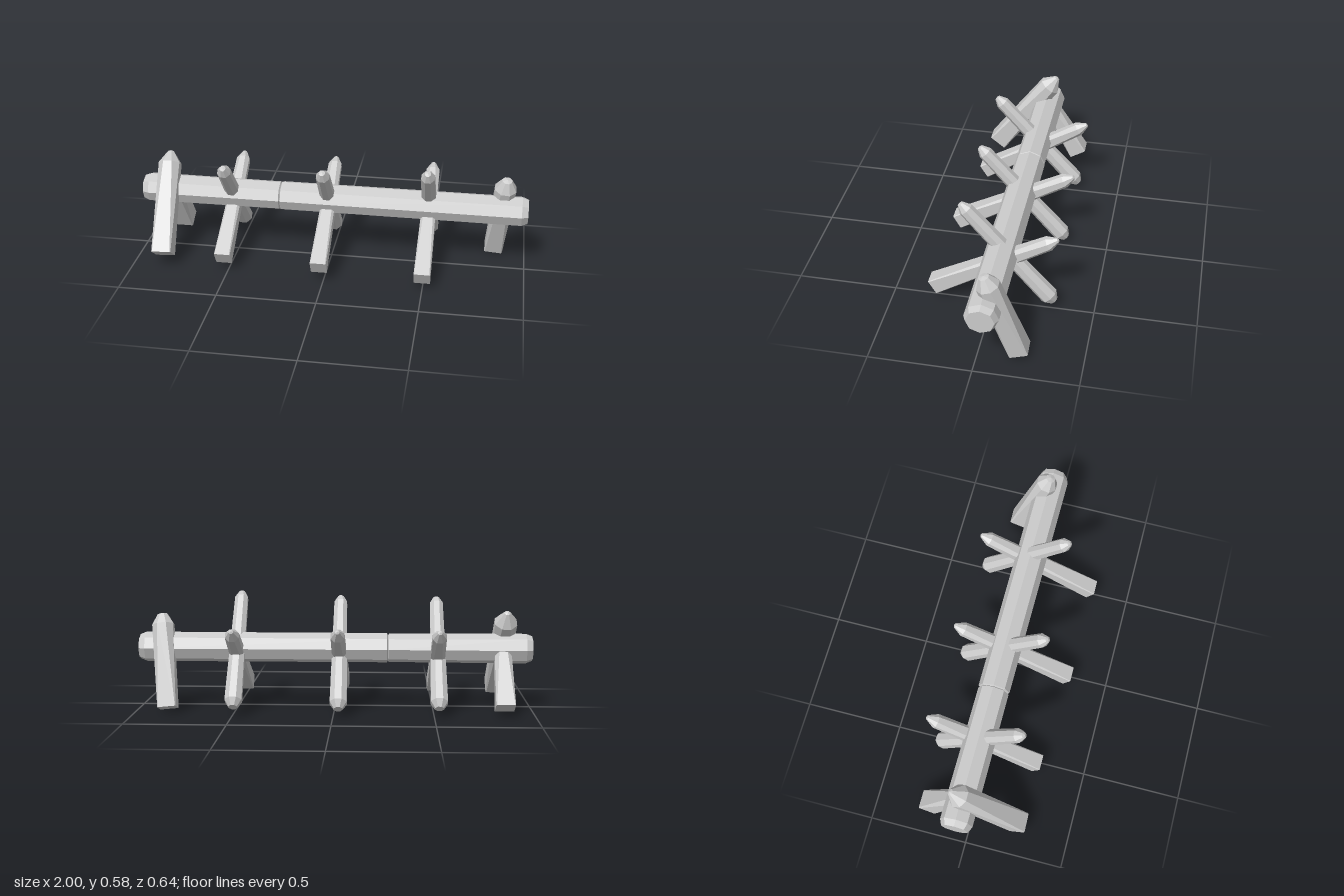
import * as THREE from 'three';

const material = new THREE.MeshStandardMaterial({ color: 0xcccccc, flatShading: true });

function addMesh(group, geometry, name) {
  const flat = geometry.toNonIndexed();
  flat.computeVertexNormals();
  const mesh = new THREE.Mesh(flat, material);
  mesh.name = name;
  group.add(mesh);
  return mesh;
}

// Lathe with a flat side (not a corner) facing +x
function faceted(points, sides) {
  const profile = points.map(([r, y]) => new THREE.Vector2(r, y));
  return new THREE.LatheGeometry(profile, sides, Math.PI / sides);
}

// Stake from a sawn, nearly square foot to a hewn octagonal point.
// cut: length of the hewn end, tip: its remaining radius, pointedFoot: hew the foot too
function addStake(group, name, foot, top, r0, r1, { cut = 0.05, tip = 0.016, pointedFoot = false } = {}) {
  const a = new THREE.Vector3(...foot), b = new THREE.Vector3(...top);
  const length = a.distanceTo(b);
  const start = pointedFoot
    ? [[0, 0], [r0 * 0.5, 0], [r0, cut * 0.8]]
    : [[0, 0], [r0, 0]];
  const geo = faceted([...start, [r1, length - cut], [tip, length - 0.006], [0, length]], 8);

  // pull the foot's corners towards a square, fading out up the stake
  const p = geo.attributes.position;
  for (let i = 0; i < p.count; i++) {
    const x = p.getX(i), y = p.getY(i), z = p.getZ(i);
    const r = Math.hypot(x, z);
    if (r < 1e-6 || pointedFoot) continue;
    const k = 0.85 * Math.max(0, 1 - y / (length * 0.8));
    const c = r * 0.98;
    p.setXYZ(i, THREE.MathUtils.lerp(x, Math.sign(x) * c, k), y, THREE.MathUtils.lerp(z, Math.sign(z) * c, k));
  }

  const up = b.clone().sub(a).normalize();
  const side = new THREE.Vector3(1, 0, 0).addScaledVector(up, -up.x).normalize();
  const out = new THREE.Vector3().crossVectors(side, up);
  geo.applyMatrix4(new THREE.Matrix4().makeBasis(side, up, out).setPosition(a));
  addMesh(group, geo, name);
}

export function createModel() {
  const model = new THREE.Group();
  model.name = 'spikedBarrier';

  // Main beam: octagonal, chamfered ends, with a thin crack around it
  const R = 0.082;
  const beam = new THREE.LatheGeometry(
    [[0, -1], [0.068, -1], [R, -0.968], [R - 0.003, -0.275], [R - 0.012, -0.27],
      [R - 0.001, -0.265], [R, 0.968], [0.068, 1], [0, 1]].map(([r, y]) => new THREE.Vector2(r, y)), 8);
  beam.rotateZ(-Math.PI / 2);
  beam.scale(1, 0.93, 1);
  beam.translate(0, 0.313, -0.042);
  addMesh(model, beam, 'beam');

  // Crossed spikes: [x, rising to the front: foot y z, top y z, rising to the back: foot y z, top y z]
  const crosses = [
    [-0.525, [0.045, -0.275], [0.55, 0.185], [0.075, 0.255], [0.43, -0.315]],
    [-0.025, [0.04, -0.28], [0.555, 0.175], [0.085, 0.295], [0.43, -0.315]],
    [0.495, [0.05, -0.3], [0.58, 0.158], [0.07, 0.3], [0.43, -0.318]],
  ];
  for (const [x, f0, f1, b0, b1] of crosses) {
    addStake(model, 'spikeToFront', [x, ...f0], [x + 0.003, ...f1], 0.046, 0.036, { pointedFoot: true, cut: 0.045 });
    addStake(model, 'spikeToBack', [x + 0.003, ...b0], [x + 0.003, ...b1], 0.042, 0.037, { cut: 0.055, tip: 0.012 });
  }

  // Supporting legs at the two ends
  addStake(model, 'rightFrontLeg', [-0.842, 0.07, 0.24], [-0.868, 0.505, -0.095], 0.052, 0.06, { cut: 0.07 });
  addStake(model, 'rightBackLeg', [-0.852, 0.042, -0.232], [-0.848, 0.37, -0.035], 0.05, 0.045);
  addStake(model, 'leftBackLeg', [0.838, 0.023, -0.194], [0.885, 0.485, -0.036], 0.048, 0.058, { cut: 0.06, tip: 0.026 });

  return model;
}
